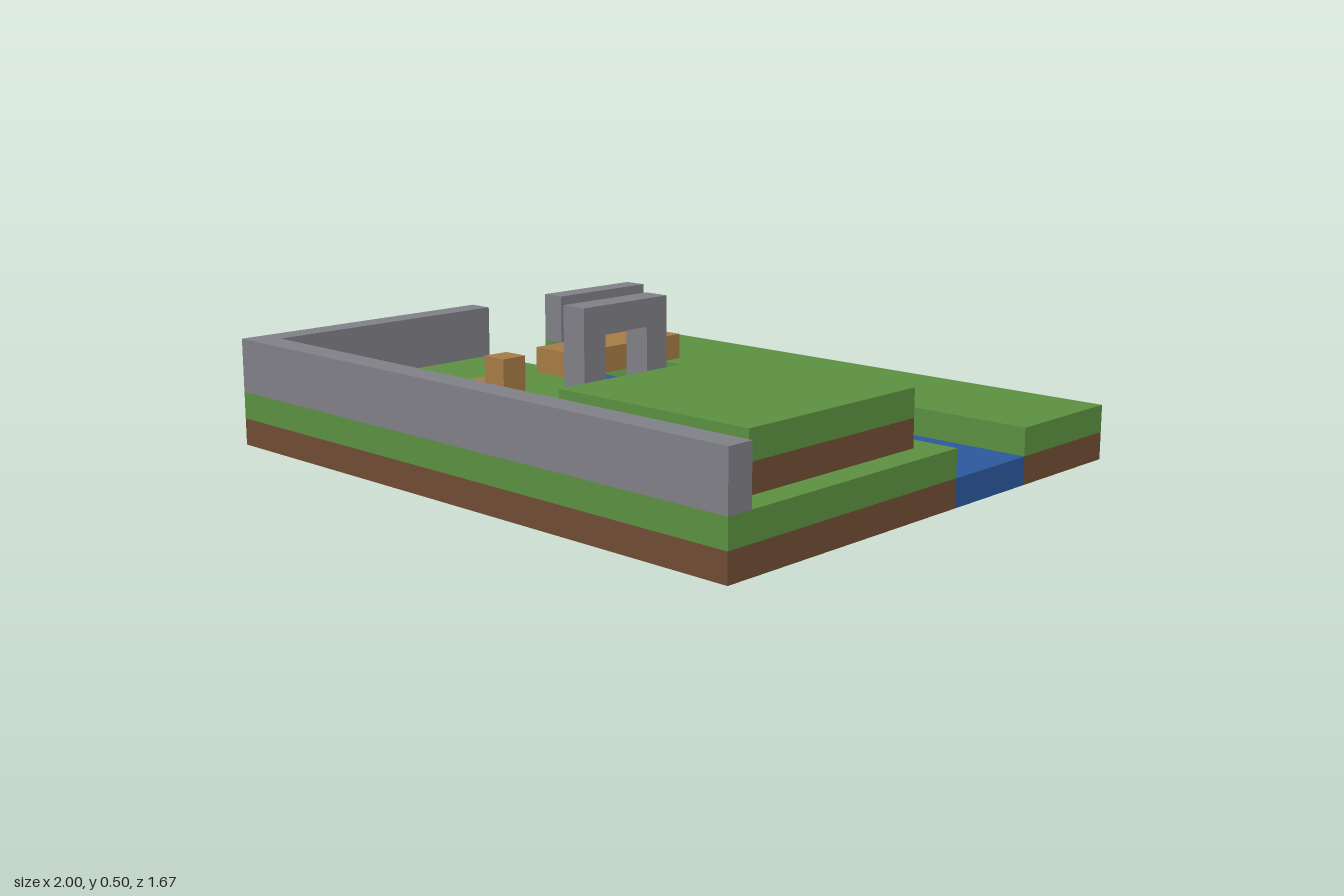
import * as THREE from 'three';

const U = 1 / 12; // one block

function material(name, color) {
  const m = new THREE.MeshStandardMaterial({ color });
  m.name = name;
  return m;
}

export function createModel() {
  const grass = material('grass', 0x5b9040);
  const dirt = material('dirt', 0x714c34);
  const stone = material('stone', 0x808087);
  const water = material('water', 0x2b589c);
  const wood = material('wood', 0xa67b46);

  const model = new THREE.Group();
  model.name = 'riverGarden';

  // Box between two corners, measured in blocks
  function block(name, mat, [x0, x1], [y0, y1], [z0, z1], parent = model) {
    const geometry = new THREE.BoxGeometry((x1 - x0) * U, (y1 - y0) * U, (z1 - z0) * U);
    const mesh = new THREE.Mesh(geometry, mat);
    mesh.position.set((x0 + x1) / 2 * U, (y0 + y1) / 2 * U, (z0 + z1) / 2 * U);
    mesh.name = name;
    parent.add(mesh);
  }

  function group(name) {
    const g = new THREE.Group();
    g.name = name;
    model.add(g);
    return g;
  }

  // Two banks with the river between them
  for (const [side, z] of [['back', [-10, -5]], ['front', [-1, 10]]]) {
    block(side + 'BankDirt', dirt, [-12, 12], [0, 1], z);
    block(side + 'BankGrass', grass, [-12, 12], [1, 2], z);
  }
  block('river', water, [-12, 12], [0, 1], [-5, -1]);

  // Boundary walls
  const walls = group('walls');
  block('frontWall', stone, [-12, 12], [2, 4], [9, 10], walls);
  block('sideWallFront', stone, [-12, -11], [2, 4], [-1, 9], walls);
  block('sideWallBack', stone, [-12, -11], [2, 4], [-10, -5], walls);

  // Raised terrace and its step
  const terrace = group('terrace');
  block('terraceDirt', dirt, [3, 11], [2, 3], [0, 8], terrace);
  block('terraceGrass', grass, [3, 11], [3, 4], [0, 8], terrace);
  block('terraceStep', stone, [6, 8], [2, 3], [-1, 0], terrace);

  // Stone arch
  const arch = group('arch');
  for (const z of [1, 4]) block('archPost', stone, [0, 1], [2, 5], [z, z + 1], arch);
  block('archLintel', stone, [0, 1], [5, 6], [1, 5], arch);

  // Wooden bridge and chair
  block('bridge', wood, [-7, -5], [2, 3], [-6, 0]);
  const chair = group('chair');
  block('chairSeat', wood, [-4, -3], [2, 3], [5, 6], chair);
  block('chairBack', wood, [-3, -2], [2, 4], [5, 6], chair);

  return model;
}
